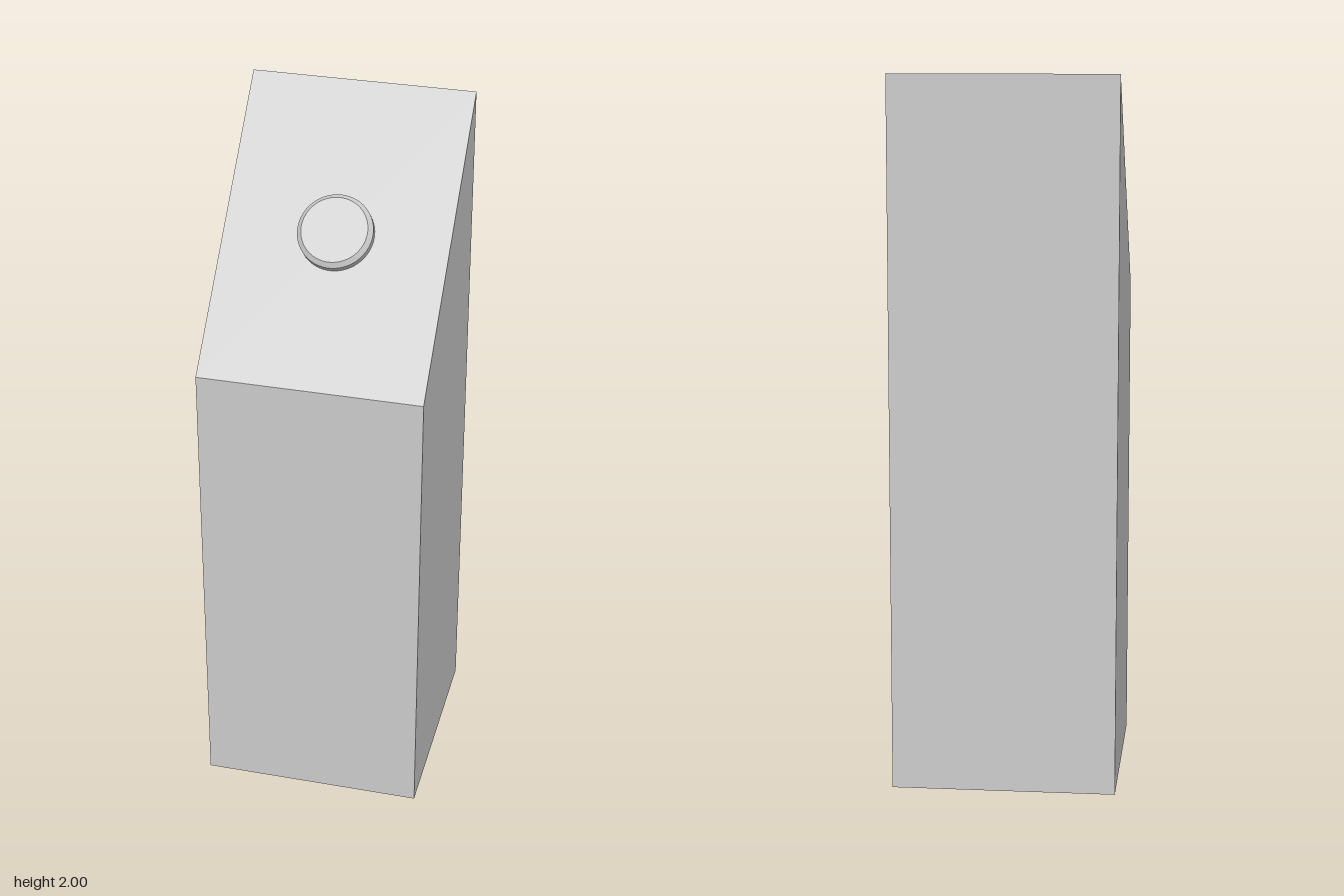
import * as THREE from 'three';
import { toCreasedNormals } from 'three/addons/utils/BufferGeometryUtils.js';

const WIDTH = 0.63, HEIGHT = 2, FRONT_HEIGHT = 1.37;

export function createModel() {
  const group = new THREE.Group();
  group.name = 'pedestal';
  const material = new THREE.MeshStandardMaterial({ color: 0xcccccc });

  // Square pillar with its top sloping down to the front
  const pillarGeometry = new THREE.BoxGeometry(WIDTH, HEIGHT, WIDTH);
  pillarGeometry.translate(0, HEIGHT / 2, 0);
  const pos = pillarGeometry.attributes.position;
  for (let i = 0; i < pos.count; i++) {
    if (pos.getY(i) > 1 && pos.getZ(i) > 0) pos.setY(i, FRONT_HEIGHT);
  }
  pillarGeometry.computeVertexNormals();
  const pillar = new THREE.Mesh(pillarGeometry, material);
  pillar.name = 'pillar';
  group.add(pillar);

  // Round push button with a bevelled rim, centred on the slope
  const profile = [
    [0.105, 0], [0.105, 0.023], [0.092, 0.036], [0, 0.036],
  ].map(([r, y]) => new THREE.Vector2(r, y));
  const button = new THREE.Mesh(
    toCreasedNormals(new THREE.LatheGeometry(profile, 64), 0.5),
    material
  );
  button.name = 'button';
  button.position.y = (HEIGHT + FRONT_HEIGHT) / 2;
  button.rotation.x = Math.atan2(HEIGHT - FRONT_HEIGHT, WIDTH);
  group.add(button);

  return group;
}
